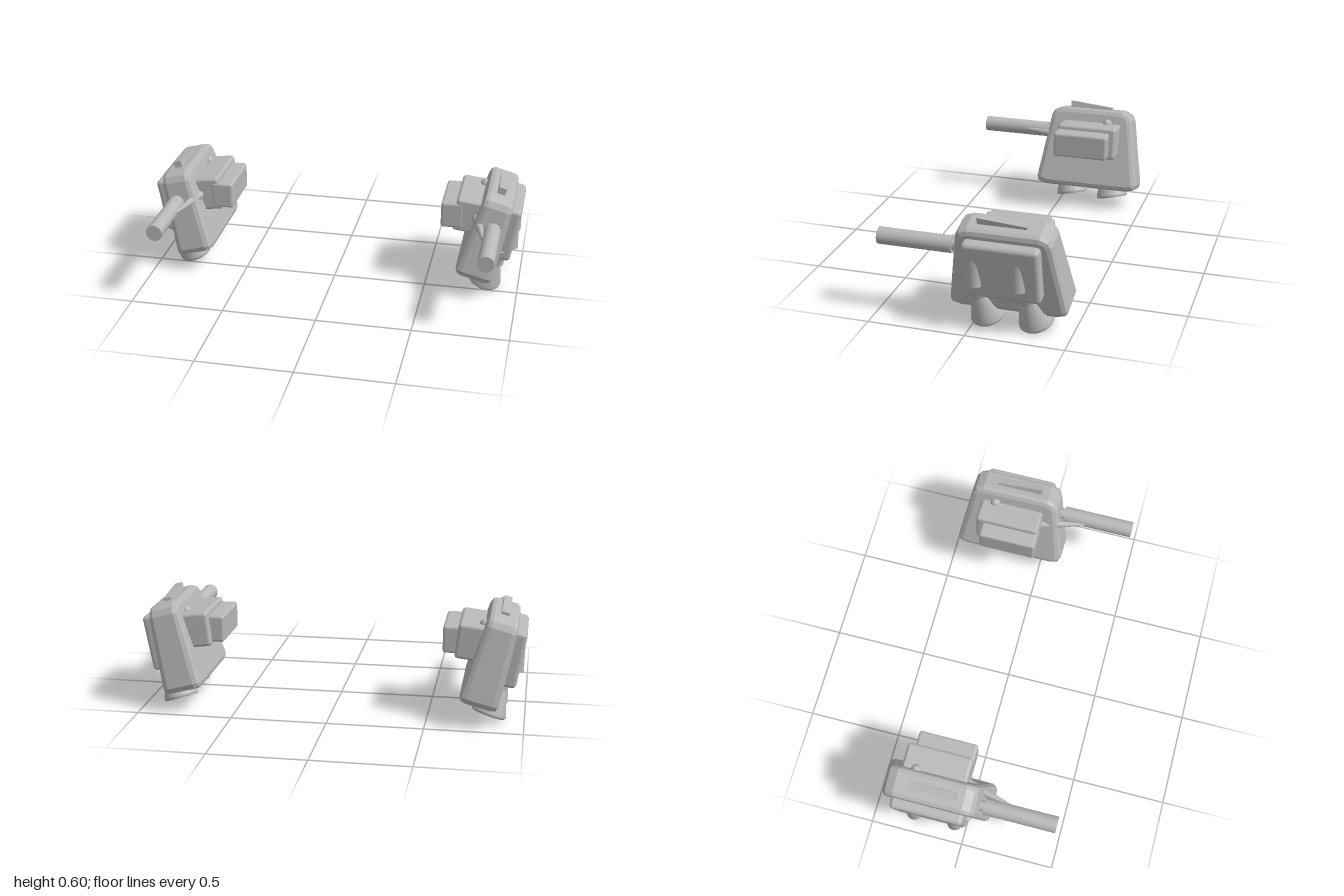
import * as THREE from 'three';
import { RoundedBoxGeometry } from 'three/addons/geometries/RoundedBoxGeometry.js';

const UP = new THREE.Vector3(0, 1, 0);
const TILT = 0.262;

export function createModel() {
  const model = new THREE.Group();
  model.name = 'pairedPods';
  const grey = new THREE.MeshStandardMaterial({ color: 0xb8b8b8 });
  grey.name = 'plain grey';

  function add(parent, name, geometry, x = 0, y = 0, z = 0) {
    const mesh = new THREE.Mesh(geometry, grey);
    mesh.name = name;
    mesh.position.set(x, y, z);
    parent.add(mesh);
    return mesh;
  }

  // Tapered rod between two points
  function rod(parent, name, a, b, ra, rb, sides = 24) {
    const dir = b.clone().sub(a);
    const mid = a.clone().add(b).multiplyScalar(0.5);
    const mesh = add(parent, name, new THREE.CylinderGeometry(rb, ra, dir.length(), sides), mid.x, mid.y, mid.z);
    mesh.quaternion.setFromUnitVectors(UP, dir.normalize());
    return mesh;
  }

  // Bevelled trapezoid slab, thicker towards the bottom
  function bodyGeometry() {
    const half = [[0.24, 0.305], [0.29, 0.318], [0.3, 0.345], [0.24, 0.722], [0.222, 0.752], [0.18, 0.77]];
    const outline = [...half, ...half.map(([z, y]) => [-z, y]).reverse()];
    const shape = new THREE.Shape(outline.map(([z, y]) => new THREE.Vector2(z, y)));
    const geo = new THREE.ExtrudeGeometry(shape, {
      depth: 0.125, bevelEnabled: true, bevelThickness: 0.029,
      bevelSize: 0.028, bevelOffset: -0.028, bevelSegments: 2,
    });
    geo.translate(0, 0, -0.0625);
    geo.rotateY(Math.PI / 2);
    const p = geo.attributes.position;
    for (let i = 0; i < p.count; i++) p.setX(i, p.getX(i) * (1 - 0.57 * (p.getY(i) - 0.53)));
    geo.computeVertexNormals();
    return geo;
  }

  // Wedge ridge that drops towards the back
  function ridgeGeometry() {
    const shape = new THREE.Shape([
      new THREE.Vector2(-0.04, 0.74), new THREE.Vector2(-0.04, 0.805),
      new THREE.Vector2(-0.286, 0.783), new THREE.Vector2(-0.286, 0.74),
    ]);
    const geo = new THREE.ExtrudeGeometry(shape, { depth: 0.042, bevelEnabled: false });
    geo.translate(0, 0, -0.021);
    geo.rotateY(-Math.PI / 2);
    return geo;
  }

  // Flared nozzle with a rounded lip and closed mouth
  function nozzleGeometry() {
    const wall = [[0.043, 0], [0.054, -0.03], [0.068, -0.07], [0.082, -0.11], [0.091, -0.138], [0.091, -0.146], [0.086, -0.154]];
    return new THREE.LatheGeometry(wall.map(([r, y]) => new THREE.Vector2(r, y)).reverse(), 32);
  }

  for (const s of [1, -1]) {
    const pod = new THREE.Group();
    pod.name = s > 0 ? 'leftPod' : 'rightPod';
    model.add(pod);
    const at = (x, y, z) => new THREE.Vector3(s * x, y, z);

    // Leaning body and its top ridge
    const hull = new THREE.Group();
    hull.name = 'hull';
    hull.rotation.z = -s * TILT;
    pod.add(hull);
    add(hull, 'body', bodyGeometry(), s * 0.708, 0, -0.178);
    add(hull, 'topRidge', ridgeGeometry(), s * 0.706, 0, 0);

    // Outer side panel
    const panel = add(pod, 'outerPanel', new RoundedBoxGeometry(0.1, 0.3, 0.382, 2, 0.022), s * 0.926, 0.347, -0.176);
    panel.rotation.z = -s * 0.18;

    // Inner mounting blocks
    const block = add(pod, 'innerBlock', new RoundedBoxGeometry(0.17, 0.185, 0.346, 2, 0.018), s * 0.728, 0.422, -0.185);
    block.rotation.z = -s * 0.12;
    add(pod, 'innerEndBlock', new RoundedBoxGeometry(0.12, 0.142, 0.312, 2, 0.014), s * 0.632, 0.425, -0.165);
    add(pod, 'blockStud', new THREE.SphereGeometry(0.027, 20, 12), s * 0.782, 0.508, -0.28);

    // Pegs breaking through the outer panel
    for (const z of [-0.04, -0.258]) {
      add(pod, 'panelPeg', new THREE.CylinderGeometry(0.04, 0.04, 0.15, 24), s * 0.947, 0.335, z);
    }

    // Two thrusters, angled inward and back
    for (const z of [0, -0.246]) {
      const neckBase = at(0.857, 0.168, -0.037 + z);
      const neckTop = at(0.888, 0.265, -0.014 + z);
      rod(pod, 'thrusterNeck', neckBase, neckTop, 0.047, 0.047);
      const axis = at(0.045, 0.14, 0.033).normalize();
      const thruster = new THREE.Group();
      thruster.name = 'thruster';
      thruster.position.copy(neckBase).addScaledVector(axis, 0.012);
      thruster.quaternion.setFromUnitVectors(UP, axis);
      pod.add(thruster);
      add(thruster, 'nozzle', nozzleGeometry());
      const mouth = add(thruster, 'nozzleMouth', new THREE.CircleGeometry(0.086, 32), 0, -0.154, 0);
      mouth.rotation.x = Math.PI / 2;
    }

    // Forward barrel, its collar and the tapering brace
    rod(pod, 'barrel', at(0.857, 0.412, 0.098), at(0.857, 0.412, 0.48), 0.043, 0.043, 32);
    rod(pod, 'barrelCollar', at(0.857, 0.413, -0.02), at(0.857, 0.413, 0.1), 0.029, 0.029);
    rod(pod, 'barrelBrace', at(0.757, 0.417, -0.05), at(0.823, 0.415, 0.235), 0.031, 0.006);
  }
  return model;
}
